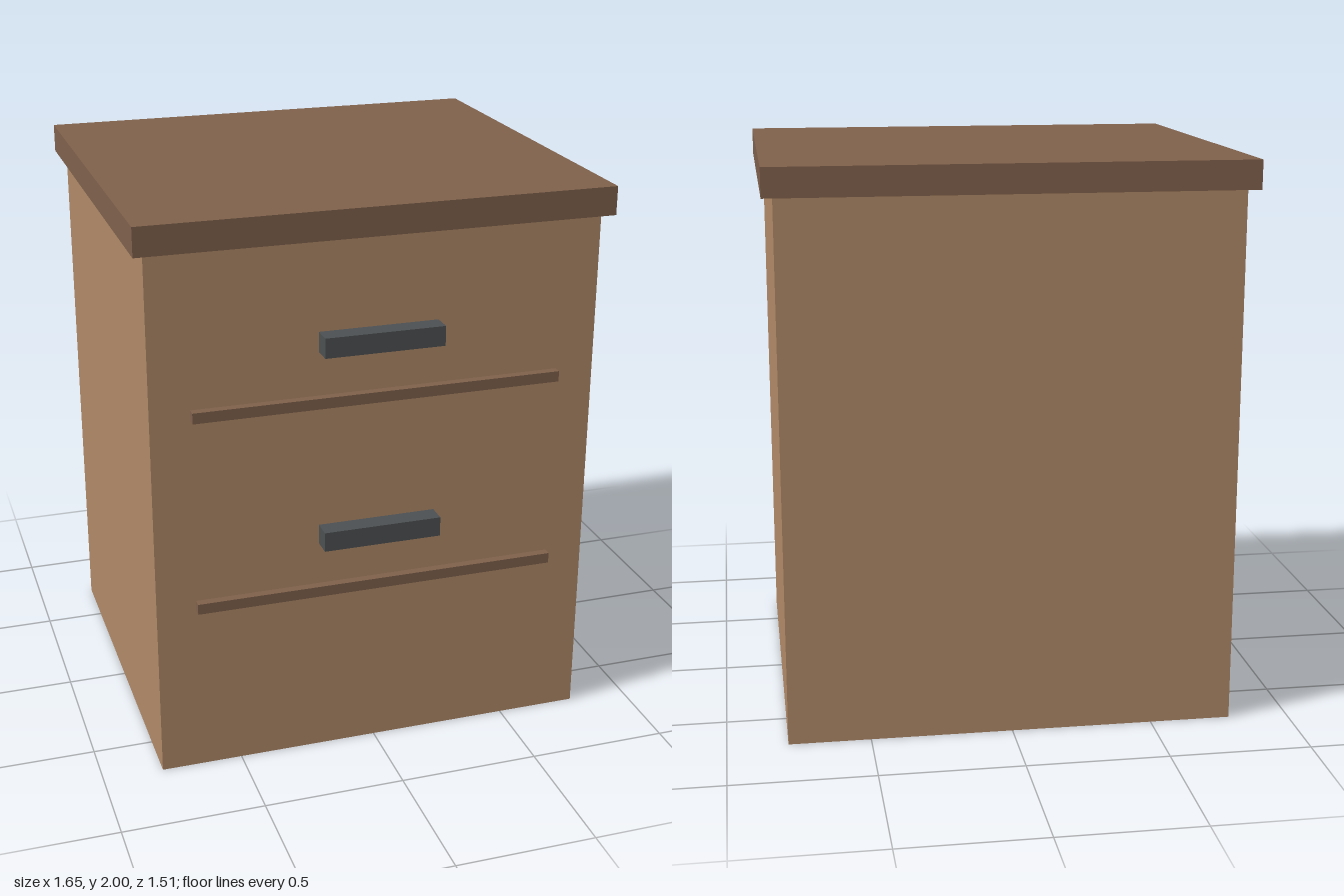
import * as THREE from 'three';

export function createModel() {
  const group = new THREE.Group();
  const material = (name, color) => {
    const m = new THREE.MeshStandardMaterial({ color });
    m.name = name;
    return m;
  };
  const lightWood = material('lightWood', 0xb08968);
  const darkWood = material('darkWood', 0x7f614b);
  const darkMetal = material('darkMetal', 0x4d5052);

  const addBox = (name, mat, size, position) => {
    const mesh = new THREE.Mesh(new THREE.BoxGeometry(...size), mat);
    mesh.name = name;
    mesh.position.set(...position);
    group.add(mesh);
  };

  // Cabinet body and overhanging top
  addBox('cabinetBody', lightWood, [1.576, 1.9, 1.402], [0, 0.95, -0.016]);
  addBox('topBoard', darkWood, [1.65, 0.1, 1.474], [0, 1.95, -0.016]);

  // Drawer handles and the dividing strips below them
  const names = ['lower', 'upper'];
  names.forEach((name, i) => {
    const lift = i * 0.703;
    addBox(name + 'Handle', darkMetal, [0.42, 0.07, 0.08], [0, 0.844 + lift, 0.715]);
    addBox(name + 'Strip', darkWood, [1.3, 0.038, 0.04], [0, 0.635 + lift, 0.695]);
  });

  return group;
}
